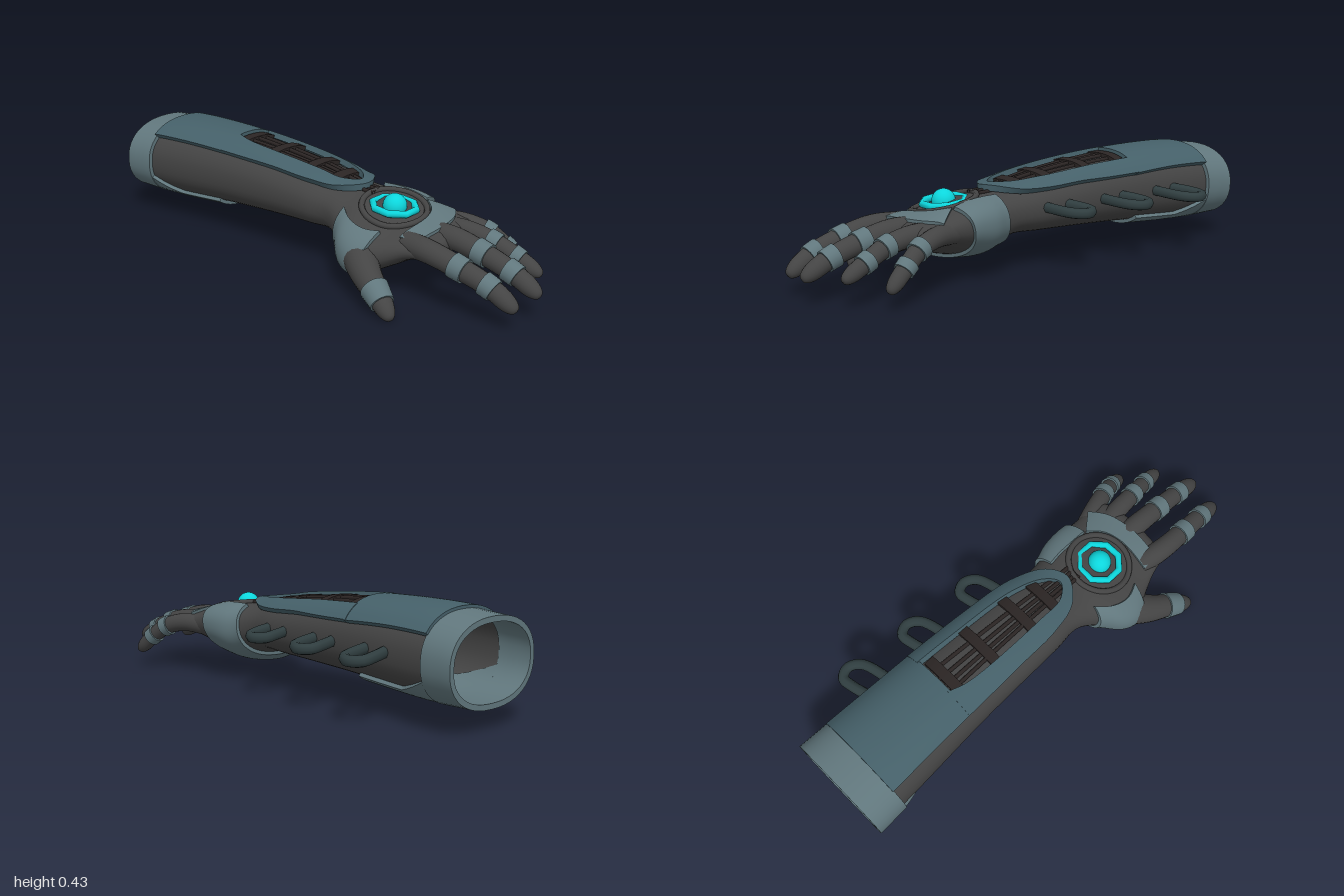
import * as THREE from 'three';
import { mergeVertices, toCreasedNormals } from 'three/addons/utils/BufferGeometryUtils.js';

const mat = (color) => new THREE.MeshStandardMaterial({ color, side: THREE.DoubleSide });
const cloth = mat(0x444444), armour = mat(0x456069), plate = mat(0x61777d);
const loopMat = mat(0x303e40), cordMat = mat(0x2b2524), glow = mat(0x0cd6dc);
const lerp = THREE.MathUtils.lerp;

// Cross-sections of the sleeve and palm: z, then left x, right x, bottom y, top y, sideways tilt
const keys = [
  [-1, -0.19, 0.235, 0.108, 0.395, 0], [-0.8, -0.185, 0.222, 0.105, 0.41, 0],
  [-0.4, -0.17, 0.192, 0.13, 0.405, 0], [0, -0.165, 0.165, 0.148, 0.367, 0],
  [0.12, -0.16, 0.145, 0.148, 0.345, 0.02], [0.2, -0.2, 0.15, 0.115, 0.33, 0.1],
  [0.27, -0.265, 0.172, 0.088, 0.322, 0.15], [0.35, -0.285, 0.178, 0.092, 0.308, 0.18],
  [0.45, -0.235, 0.172, 0.13, 0.288, 0.13], [0.53, -0.205, 0.178, 0.165, 0.272, 0.06],
  [0.64, -0.19, 0.165, 0.185, 0.25, 0.03],
];
const sections = new THREE.CubicInterpolant(
  new Float32Array(keys.map((k) => k[0])), new Float32Array(keys.flatMap((k) => k.slice(1))), 5);
const P = 0.87;
const bulge = (c) => Math.sign(c) * Math.abs(c) ** P;

function section(z) {
  const [x0, x1, y0, y1, tilt] = sections.evaluate(z);
  const s = z > 0.57 ? Math.sqrt(Math.max(0, 1 - ((z - 0.57) / 0.06) ** 2)) : 1;
  return { cx: (x0 + x1) / 2, cy: (y0 + y1) / 2, w: (x1 - x0) / 2 * s, h: (y1 - y0) / 2 * s, tilt };
}

// Point on the glove at angle a (0 = +x, PI/2 = top), lifted by off
function skin(z, a, off = 0) {
  const { cx, cy, w, h, tilt } = section(z);
  const c = Math.cos(a), s = Math.sin(a);
  const n = new THREE.Vector2(c * h, s * w);
  if (n.length() > 0) n.normalize();
  const dx = w * bulge(c);
  return new THREE.Vector3(cx + dx + n.x * off, cy + h * bulge(s) + tilt * dx + n.y * off, z);
}

// Point on the upper side of the glove above (x, z)
function top(x, z, off) {
  const { cx, w } = section(z);
  const d = THREE.MathUtils.clamp((x - cx) / w, -1, 1);
  return skin(z, Math.acos(Math.sign(d) * Math.abs(d) ** (1 / P)), off);
}

// Indexed geometry, wound so that the enclosed volume is positive
function solid(points, index) {
  let volume = 0;
  const m = new THREE.Vector3();
  const centre = new THREE.Box3().setFromPoints(points).getCenter(new THREE.Vector3());
  const rel = points.map((p) => p.clone().sub(centre));
  for (let i = 0; i < index.length; i += 3) {
    volume += rel[index[i]].dot(m.crossVectors(rel[index[i + 1]], rel[index[i + 2]]));
  }
  if (volume < 0) index.reverse();
  const g = new THREE.BufferGeometry().setFromPoints(points);
  g.setIndex(index);
  return g;
}

// Smooth skin from f(u, v)
function surface(f, nu, nv) {
  const pts = [], index = [];
  for (let i = 0; i <= nu; i++) for (let j = 0; j <= nv; j++) pts.push(f(i / nu, j / nv));
  for (let i = 0; i < nu; i++) {
    for (let j = 0; j < nv; j++) {
      const a = i * (nv + 1) + j, b = a + nv + 1;
      index.push(a, b, b + 1, a, b + 1, a + 1);
    }
  }
  const g = mergeVertices(solid(pts, index), 1e-5);
  g.computeVertexNormals();
  return g;
}

// Thick plate from f(u, v, offset) between two offsets, with closed rims
function shell(f, nu, nv, inner, outer) {
  const pts = [], index = [], row = 2 * (nv + 1);
  for (let i = 0; i <= nu; i++) {
    for (let j = 0; j <= nv; j++) pts.push(f(i / nu, j / nv, outer));
    for (let j = nv; j >= 0; j--) pts.push(f(i / nu, j / nv, inner));
  }
  const quad = (a, b, c, d) => index.push(a, b, c, a, c, d);
  for (let i = 0; i < nu; i++) {
    for (let j = 0; j < row; j++) {
      const k = (j + 1) % row;
      quad(i * row + j, (i + 1) * row + j, (i + 1) * row + k, i * row + k);
    }
  }
  for (let j = 0; j < nv; j++) {
    const e = nu * row;
    quad(j, j + 1, row - 2 - j, row - 1 - j);
    quad(e + row - 1 - j, e + row - 2 - j, e + j + 1, e + j);
  }
  return toCreasedNormals(solid(pts, index), 0.7);
}

// Plate on the upper side, spanning two outlines of [x, z] points
function topPlate(from, to, nu, nv, inner, outer) {
  const curve = (c) => new THREE.CatmullRomCurve3(c.map(([x, z]) => new THREE.Vector3(x, 0, z)));
  const A = curve(from), B = curve(to);
  return shell((u, v, off) => {
    const p = A.getPoint(u).lerp(B.getPoint(u), v);
    return top(p.x, p.z, off);
  }, nu, nv, inner, outer);
}

// Tapering finger with a rounded tip
function digit(points, r0, r1) {
  const curve = new THREE.CatmullRomCurve3(points.map((p) => new THREE.Vector3(...p)));
  return (t, a, off = 0) => {
    const round = t > 0.86 ? Math.sqrt(Math.max(0, 1 - ((t - 0.86) / 0.14) ** 2)) ** 0.8 : 1;
    const r = lerp(r0, r1, t) * round + off;
    const dir = curve.getTangent(t);
    const side = new THREE.Vector3().crossVectors(dir, new THREE.Vector3(0, 1, 0)).normalize();
    const up = new THREE.Vector3().crossVectors(side, dir);
    return curve.getPoint(t).addScaledVector(side, r * Math.cos(a)).addScaledVector(up, r * Math.sin(a));
  };
}

export function createModel() {
  const group = new THREE.Group();
  const add = (name, geometry, material) => {
    const mesh = new THREE.Mesh(geometry, material);
    mesh.name = name;
    group.add(mesh);
    return mesh;
  };
  const TAU = Math.PI * 2;
  const tube = (pts, r, n = 32) => new THREE.TubeGeometry(
    new THREE.CatmullRomCurve3(pts), n, r, 8, false);

  // Sleeve and palm, open at the elbow end
  add('sleeveAndPalm', surface((u, v) => skin(lerp(-0.995, 0.63, u), v * TAU), 90, 40), cloth);

  // Elbow cuff and the plate under it
  add('cuff', shell((u, v, o) => skin(lerp(-1, -0.865, u), v * TAU, o), 3, 48, -0.004, 0.017), plate);
  add('underPlate', shell((u, v, o) => {
    const half = lerp(0.4, 0.25, Math.min(1, u * 2.5)) * Math.PI;
    return skin(lerp(-0.87, -0.5, u), -Math.PI / 2 + lerp(-half, half, v), o);
  }, 20, 20, -0.004, 0.015), plate);

  // Forearm guard: solid rear part and a U-shaped frame round the opening
  add('guardRear', topPlate([[-0.14, -0.87], [-0.135, -0.68], [-0.13, -0.46]],
    [[0.2, -0.87], [0.188, -0.68], [0.178, -0.46]], 16, 20, 0.004, 0.028), armour);
  add('guardFrame', topPlate(
    [[-0.13, -0.47], [-0.125, -0.2], [-0.118, 0.02], [-0.085, 0.15], [-0.01, 0.21], [0.07, 0.17], [0.13, 0.04], [0.158, -0.2], [0.178, -0.47]],
    [[-0.03, -0.47], [-0.053, -0.38], [-0.06, 0], [-0.05, 0.12], [-0.005, 0.17], [0.045, 0.13], [0.09, 0], [0.115, -0.3], [0.125, -0.47]],
    72, 6, 0.004, 0.03), armour);

  // Cords and straps in the opening
  [-0.035, -0.005, 0.03, 0.075].forEach((x, i) => {
    const pts = [];
    for (let z = -0.5; z <= 0.25; z += 0.05) {
      pts.push(top(lerp(x, x * 0.5 - 0.012, (z + 0.5) / 0.75), z, i % 2 ? 0.003 : 0.006));
    }
    add('cord', tube(pts, 0.008, 40), cordMat);
  });
  for (const z of [-0.43, -0.25, -0.05, 0.08]) {
    add('strap', shell((u, v, o) => top(lerp(-0.075, 0.11, u), z + lerp(-0.022, 0.022, v), o),
      10, 2, 0, 0.017), cordMat);
  }

  // Side loops
  const loop = [[0.15, -0.65], [0.29, -0.692], [0.345, -0.695], [0.366, -0.655], [0.335, -0.605], [0.15, -0.56]];
  for (let i = 0; i < 3; i++) {
    const pts = loop.map(([x, z]) =>
      new THREE.Vector3(x - 0.032 * i, 0.27 - Math.max(0, x - 0.2) * 0.1, z + 0.288 * i));
    add('sideLoop', tube(pts, 0.022, 40), loopMat);
  }

  // Plate wrapping the heel of the hand and plate over the knuckles
  add('palmPlate', shell((u, v, o) => {
    const a = lerp(0.3, -1.27, u) * Math.PI;
    const high = (Math.sin(a) + 1) / 2;
    return skin(lerp(lerp(0.175, 0.215, high), lerp(0.35, 0.42, high), v), a, o);
  }, 60, 12, -0.004, 0.014), plate);
  add('knucklePlate', topPlate([[-0.175, 0.49], [-0.04, 0.5], [0.04, 0.475], [0.09, 0.42]],
    [[-0.165, 0.565], [-0.04, 0.575], [0.08, 0.555], [0.155, 0.505]], 24, 6, -0.004, 0.012), plate);

  // Glowing ball and ring on the back of the hand, in a dark collar
  const collar = [];
  for (let i = 0; i < 32; i++) {
    const a = i / 32 * TAU;
    collar.push(top(-0.04 + 0.125 * Math.cos(a), 0.36 + 0.125 * Math.sin(a), 0.003));
  }
  add('collar', new THREE.TubeGeometry(new THREE.CatmullRomCurve3(collar, true), 48, 0.012, 8, true), cloth);
  const ring = add('glowRing', new THREE.TorusGeometry(0.086, 0.014, 10, 8), glow);
  ring.position.set(-0.04, 0.308, 0.36);
  ring.rotation.set(Math.PI / 2 + 0.1, 0, Math.PI / 8);
  add('glowBall', new THREE.SphereGeometry(0.047, 24, 16), glow).position.set(-0.04, 0.31, 0.362);

  // Fingers and thumb with their bands
  const digits = [
    ['indexFinger', 0.048, 0.034, [[-0.14, 0.222, 0.5], [-0.162, 0.225, 0.61], [-0.165, 0.2, 0.74], [-0.16, 0.16, 0.87], [-0.152, 0.095, 0.98]]],
    ['middleFinger', 0.048, 0.034, [[-0.01, 0.228, 0.5], [-0.015, 0.235, 0.62], [-0.018, 0.213, 0.74], [-0.02, 0.17, 0.88], [-0.02, 0.11, 0.995]]],
    ['ringFinger', 0.044, 0.03, [[0.08, 0.225, 0.5], [0.09, 0.23, 0.61], [0.1, 0.212, 0.715], [0.115, 0.17, 0.815], [0.125, 0.12, 0.915]]],
    ['littleFinger', 0.042, 0.03, [[0.125, 0.222, 0.44], [0.16, 0.228, 0.54], [0.19, 0.205, 0.635], [0.212, 0.155, 0.71], [0.23, 0.08, 0.795]]],
    ['thumb', 0.085, 0.031, [[-0.16, 0.19, 0.27], [-0.225, 0.165, 0.34], [-0.285, 0.125, 0.42], [-0.33, 0.083, 0.51], [-0.368, 0.024, 0.6]]],
  ];
  for (const [name, r0, r1, pts] of digits) {
    const f = digit(pts, r0, r1);
    add(name, surface((u, v) => f(1 - (1 - u) ** 1.4, v * TAU), 32, 20), cloth);
    const bands = name === 'thumb' ? [[0.68, 0.84]] : [[0.46, 0.56], [0.7, 0.79]];
    for (const [t0, t1] of bands) {
      add(name + 'Band', shell((u, v, o) => f(lerp(t0, t1, u), v * TAU, o), 4, 20, -0.003, 0.007), plate);
    }
  }
  return group;
}
